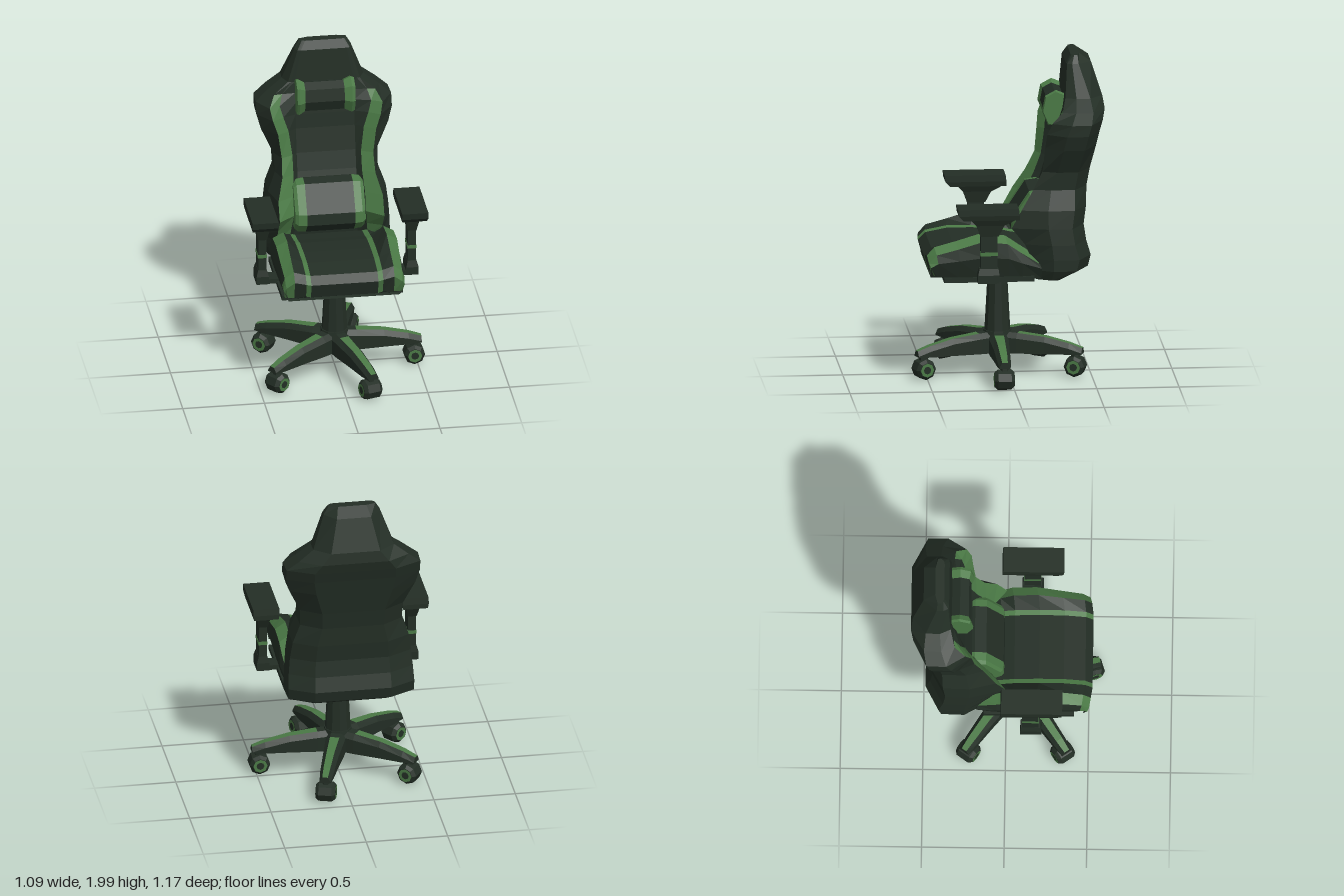
import * as THREE from 'three';

const dark = new THREE.MeshStandardMaterial({ color: 0x232e25 });
dark.name = 'darkLeather';
const green = new THREE.MeshStandardMaterial({ color: 0x4a7945 });
green.name = 'greenTrim';

// Faceted mesh from any geometry
function facet(name, geo, mat = dark) {
  const g = geo.index ? geo.toNonIndexed() : geo;
  g.computeVertexNormals();
  const m = new THREE.Mesh(g, mat);
  m.name = name;
  return m;
}

// Joins closed rings of [x,y,z] points, caps both ends; isGreen(row, column) picks the colour
function loft(name, rings, isGreen, capGreen = false) {
  const tris = [[], []];
  const n = rings[0].length;
  const add = (g, a, b, c) => tris[g ? 1 : 0].push([a, b, c]);
  for (let i = 0; i < rings.length - 1; i++) {
    for (let j = 0; j < n; j++) {
      const k = (j + 1) % n;
      const [a, b, c, d] = [rings[i][j], rings[i][k], rings[i + 1][k], rings[i + 1][j]];
      add(isGreen(i, j), a, b, c);
      add(isGreen(i, j), a, c, d);
    }
  }
  [rings[0], rings[rings.length - 1]].forEach((r, e) => {
    const mid = [0, 1, 2].map(q => r.reduce((s, p) => s + p[q], 0) / n);
    for (let j = 0; j < n; j++) {
      const k = (j + 1) % n;
      if (e) add(capGreen, mid, r[j], r[k]);
      else add(capGreen, mid, r[k], r[j]);
    }
  });
  // Turn every face outwards, judged by the enclosed volume
  let vol = 0;
  for (const [a, b, c] of tris.flat()) {
    vol += a[0] * (b[1] * c[2] - b[2] * c[1]) + a[1] * (b[2] * c[0] - b[0] * c[2])
      + a[2] * (b[0] * c[1] - b[1] * c[0]);
  }
  if (vol < 0) tris.flat().forEach(t => t.reverse());
  const geo = new THREE.BufferGeometry();
  geo.setAttribute('position', new THREE.Float32BufferAttribute(tris.flat(3), 3));
  geo.addGroup(0, tris[0].length * 3, 0);
  geo.addGroup(tris[0].length * 3, tris[1].length * 3, 1);
  return facet(name, geo, [dark, green]);
}

// Half section mirrored in x into a closed ring
const mirrorRing = half => [...half, ...half.map(([x, y, z]) => [-x, y, z]).reverse()];

function box(name, w, h, d, x, y, z, mat = dark) {
  return facet(name, new THREE.BoxGeometry(w, h, d).translate(x, y, z), mat);
}

function backrest() {
  // y, half width, panel z, stripe inner x, stripe outer x, bolster z, side z, back z
  const rows = [
    [0.65, 0.36, -0.19, 0.24, 0.31, -0.15, -0.24, -0.36],
    [0.71, 0.39, -0.18, 0.24, 0.32, -0.13, -0.25, -0.47],
    [0.78, 0.39, -0.17, 0.24, 0.32, -0.12, -0.25, -0.487],
    [0.87, 0.385, -0.16, 0.23, 0.32, -0.08, -0.24, -0.46],
    [0.97, 0.375, -0.15, 0.22, 0.32, 0, -0.22, -0.445],
    [1.08, 0.36, -0.18, 0.22, 0.32, -0.06, -0.22, -0.46],
    [1.2, 0.315, -0.22, 0.21, 0.285, -0.135, -0.24, -0.465],
    [1.31, 0.32, -0.25, 0.21, 0.28, -0.19, -0.28, -0.485],
    [1.46, 0.39, -0.28, 0.23, 0.3, -0.205, -0.31, -0.52],
    [1.55, 0.415, -0.29, 0.26, 0.33, -0.215, -0.33, -0.54],
    [1.62, 0.415, -0.3, 0.28, 0.345, -0.245, -0.36, -0.56],
    [1.68, 0.34, -0.32, 0.26, 0.31, -0.31, -0.39, -0.575],
    [1.75, 0.25, -0.33, 0.2, 0.22, -0.335, -0.4, -0.565],
    [1.95, 0.175, -0.345, 0.15, 0.16, -0.35, -0.38, -0.5],
    [2, 0.145, -0.375, 0.12, 0.13, -0.38, -0.395, -0.43],
  ];
  const rings = rows.map(([y, w, zp, gi, go, zb, zs, zk]) => mirrorRing([
    [Math.min(0.18, gi - 0.01), y, zp], [gi, y, zp * 0.55 + zb * 0.45], [go, y, zb],
    [w, y, zs], [w * 0.99, y, Math.min(zs - 0.02, zk + 0.08)], [w * 0.6, y, zk],
  ]));
  return loft('backrest', rings, (i, j) => (j === 1 || j === 9) && i < 11);
}

function seat() {
  // z, centre top, bolster top, underside, half width
  const rows = [
    [0.5, 0.7, 0.7, 0.685, 0.36],
    [0.525, 0.79, 0.81, 0.68, 0.37],
    [0.48, 0.835, 0.86, 0.68, 0.375],
    [0.35, 0.86, 0.895, 0.675, 0.38],
    [0.2, 0.86, 0.94, 0.67, 0.385],
    [0.05, 0.85, 0.925, 0.665, 0.385],
    [-0.03, 0.83, 0.87, 0.66, 0.38],
    [-0.15, 0.81, 0.79, 0.66, 0.36],
  ];
  const rings = rows.map(([z, yc, yb, y0, w], i) => mirrorRing([
    [0.205, yc, z], [0.235, yc + 0.008, z], [0.305, yb, z - 0.01],
    [w - 0.015, yb - (i ? 0.04 : 0.005), z - 0.02], [w, (yb + y0) / 2, z - 0.03], [w - 0.03, y0, z - 0.03],
  ]));
  return loft('seat', rings, (i, j) => [0, 2, 8, 10].includes(j) || (i < 2 && (j === 3 || j === 7)));
}

// Cushion with green ends; profile holds [z, y], stations hold [x, scale]
function cushion(name, profile, stations) {
  const cz = profile.reduce((s, p) => s + p[0], 0) / profile.length;
  const cy = profile.reduce((s, p) => s + p[1], 0) / profile.length;
  const rings = stations.map(([x, s]) => profile.map(([z, y]) => [x, cy + (y - cy) * s, cz + (z - cz) * s]));
  const middle = (stations.length - 2) / 2;
  return loft(name, rings, i => i !== middle, true);
}

function armrest(x) {
  const g = new THREE.Group();
  g.name = 'armrest';
  const rect = (y, w, z0, z1) => [[x - w, y, z0], [x + w, y, z0], [x + w, y, z1], [x - w, y, z1]];
  const no = () => false;
  g.add(loft('armPad', [rect(1.07, 0.075, -0.03, 0.31), rect(1.1, 0.081, -0.03, 0.34), rect(1.14, 0.08, -0.025, 0.345)], no));
  g.add(loft('armBracket', [rect(0.96, 0.027, 0.095, 0.205), rect(1.03, 0.04, 0.06, 0.23), rect(1.075, 0.06, -0.02, 0.27)], no));
  g.add(box('armPost', 0.05, 0.26, 0.1, x, 0.85, 0.152));
  g.add(box('armBand', 0.054, 0.022, 0.104, x, 0.85, 0.152, green));
  g.add(loft('armFoot', [rect(0.67, 0.038, 0.09, 0.22), rect(0.72, 0.038, 0.09, 0.22), rect(0.76, 0.027, 0.095, 0.21)], no));
  return g;
}

function baseLeg() {
  const leg = new THREE.Group();
  leg.name = 'baseLeg';
  // distance, top y, half width, underside y
  const rows = [[0, 0.27, 0.06, 0.14], [0.13, 0.262, 0.058, 0.14], [0.3, 0.245, 0.048, 0.143],
    [0.45, 0.212, 0.042, 0.145], [0.53, 0.185, 0.034, 0.148]];
  const rings = rows.map(([r, y, w, y0]) => [
    [r, y0, -w], [r, y - 0.03, -w], [r, y, -w * 0.5], [r, y, w * 0.5], [r, y - 0.03, w], [r, y0, w]]);
  leg.add(loft('legBeam', rings, (i, j) => j === 2 && i > 0));
  // Caster: stem, twin wheels and green side rings
  leg.add(facet('casterStem', new THREE.CylinderGeometry(0.025, 0.03, 0.06, 6).translate(0.485, 0.13, 0)));
  leg.add(facet('casterWheel', new THREE.CylinderGeometry(0.064, 0.064, 0.08, 8).rotateX(Math.PI / 2).translate(0.485, 0.072, 0)));
  for (const s of [-1, 1]) {
    const side = new THREE.CylinderGeometry(0.064, 0.046, 0.02, 8).rotateX(-s * Math.PI / 2);
    leg.add(facet('wheelSide', side.translate(0.485, 0.072, s * 0.05)));
    const ring = new THREE.RingGeometry(0.024, 0.043, 8, 1);
    if (s < 0) ring.rotateY(Math.PI);
    leg.add(facet('wheelRing', ring.translate(0.485, 0.072, s * 0.0615), green));
  }
  return leg;
}

export function createModel() {
  const chair = new THREE.Group();
  chair.name = 'gamingChair';

  // Upholstery and arms
  const upper = new THREE.Group();
  upper.name = 'upperChair';
  upper.position.x = -0.01;
  upper.add(backrest(), seat());
  upper.add(cushion('lumbarCushion',
    [[-0.28, 1.14], [-0.19, 1.17], [-0.12, 1.16], [-0.015, 1.0], [-0.01, 0.93], [-0.08, 0.86], [-0.22, 0.87]],
    [[-0.22, 0.85], [-0.2, 0.97], [-0.15, 1], [0.145, 1], [0.19, 0.97], [0.21, 0.85]]));
  upper.add(cushion('headCushion',
    [[-0.33, 1.75], [-0.28, 1.77], [-0.225, 1.74], [-0.21, 1.66], [-0.24, 1.59], [-0.33, 1.58]],
    [[-0.18, 1.15], [-0.165, 1.2], [-0.13, 0.97], [0.11, 0.97], [0.155, 1.2], [0.175, 1.1]]));
  for (const s of [-1, 1]) upper.add(armrest(s * 0.458));
  upper.add(box('armBar', 0.96, 0.03, 0.1, 0, 0.68, 0.155));
  upper.add(box('seatPlate', 0.74, 0.03, 0.55, 0, 0.665, 0.14));
  chair.add(upper);

  // Column and five-legged base
  const base = new THREE.Group();
  base.name = 'base';
  base.position.set(-0.005, 0, 0.06);
  base.add(facet('columnFlange', new THREE.CylinderGeometry(0.105, 0.095, 0.045, 10).translate(0, 0.635, 0)));
  base.add(facet('column', new THREE.CylinderGeometry(0.058, 0.08, 0.4, 10).translate(0, 0.45, 0)));
  base.add(facet('hub', new THREE.CylinderGeometry(0.085, 0.1, 0.135, 10).translate(0, 0.2075, 0)));
  for (let i = 0; i < 5; i++) {
    const leg = baseLeg();
    leg.rotation.y = i * Math.PI * 2 / 5;
    base.add(leg);
  }
  chair.add(base);
  return chair;
}
